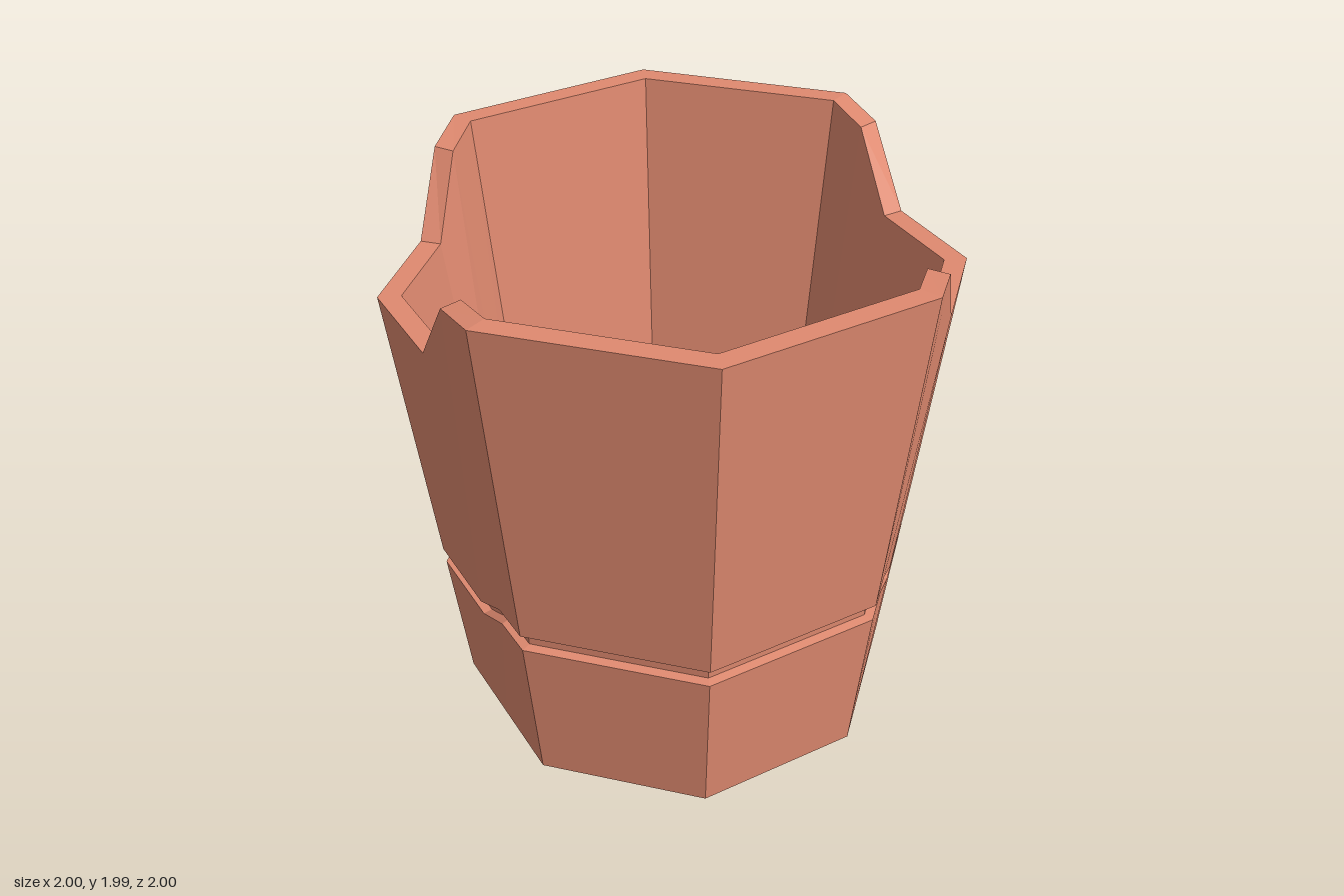
import * as THREE from 'three';

// Stations round the octagon: unit position and how far the left/right dip applies
function makeStations() {
  const corner = (i) => new THREE.Vector2(Math.cos(i * Math.PI / 4), Math.sin(i * Math.PI / 4));
  const list = [];
  for (let i = 0; i < 8; i++) {
    const add = (t, dip) => list.push({ p: corner(i).lerp(corner(i + 1), t), dip });
    if (i % 4 === 0) { add(0, 1); add(0.5, 1); add(0.75, 0.1); }
    else if (i % 4 === 3) { add(0, 0); add(0.25, 0.1); add(0.5, 1); }
    else add(0, 0);
  }
  return list;
}

// Skin between successive rings [radius, height, dip depth], outside facing out
function skin(name, rings, stations, material) {
  const positions = [];
  const point = (k, j) => {
    const [r, y, depth] = rings[k];
    const s = stations[j % stations.length];
    return [s.p.x * r, y - depth * s.dip, s.p.y * r];
  };
  for (let k = 0; k < rings.length - 1; k++) {
    for (let j = 0; j < stations.length; j++) {
      const a = point(k, j), b = point(k, j + 1);
      const c = point(k + 1, j + 1), d = point(k + 1, j);
      if (rings[k][0] > 0) positions.push(...a, ...d, ...b);
      if (rings[k + 1][0] > 0) positions.push(...b, ...d, ...c);
    }
  }
  const geometry = new THREE.BufferGeometry();
  geometry.setAttribute('position', new THREE.Float32BufferAttribute(positions, 3));
  geometry.computeVertexNormals();
  const mesh = new THREE.Mesh(geometry, material);
  mesh.name = name;
  return mesh;
}

export function createModel() {
  const group = new THREE.Group();
  group.name = 'octagonalPot';
  const clay = new THREE.MeshStandardMaterial({ color: 0xe08a70, flatShading: true });
  const stations = makeStations();

  // Key rings of the profile
  const base = [0.8, 0, 0];
  const lowerLip = [0.863, 0.62, 0.09];
  const grooveLow = [0.828, 0.625, 0.09];
  const grooveHigh = [0.832, 0.695, 0.1];
  const upperLip = [0.87, 0.69, 0.1];
  const rimOuter = [1, 1.99, 0.3];
  const rimInner = [0.92, 1.99, 0.3];
  const floorEdge = [0.695, 0.1, 0];

  const parts = {
    underside: [[0, 0, 0], base],
    lowerWall: [base, lowerLip],
    groove: [lowerLip, grooveLow, grooveHigh, upperLip],
    upperWall: [upperLip, rimOuter],
    rim: [rimOuter, rimInner],
    innerWall: [rimInner, floorEdge],
    innerFloor: [floorEdge, [0, 0.1, 0]],
  };
  for (const [name, rings] of Object.entries(parts)) group.add(skin(name, rings, stations, clay));
  return group;
}
